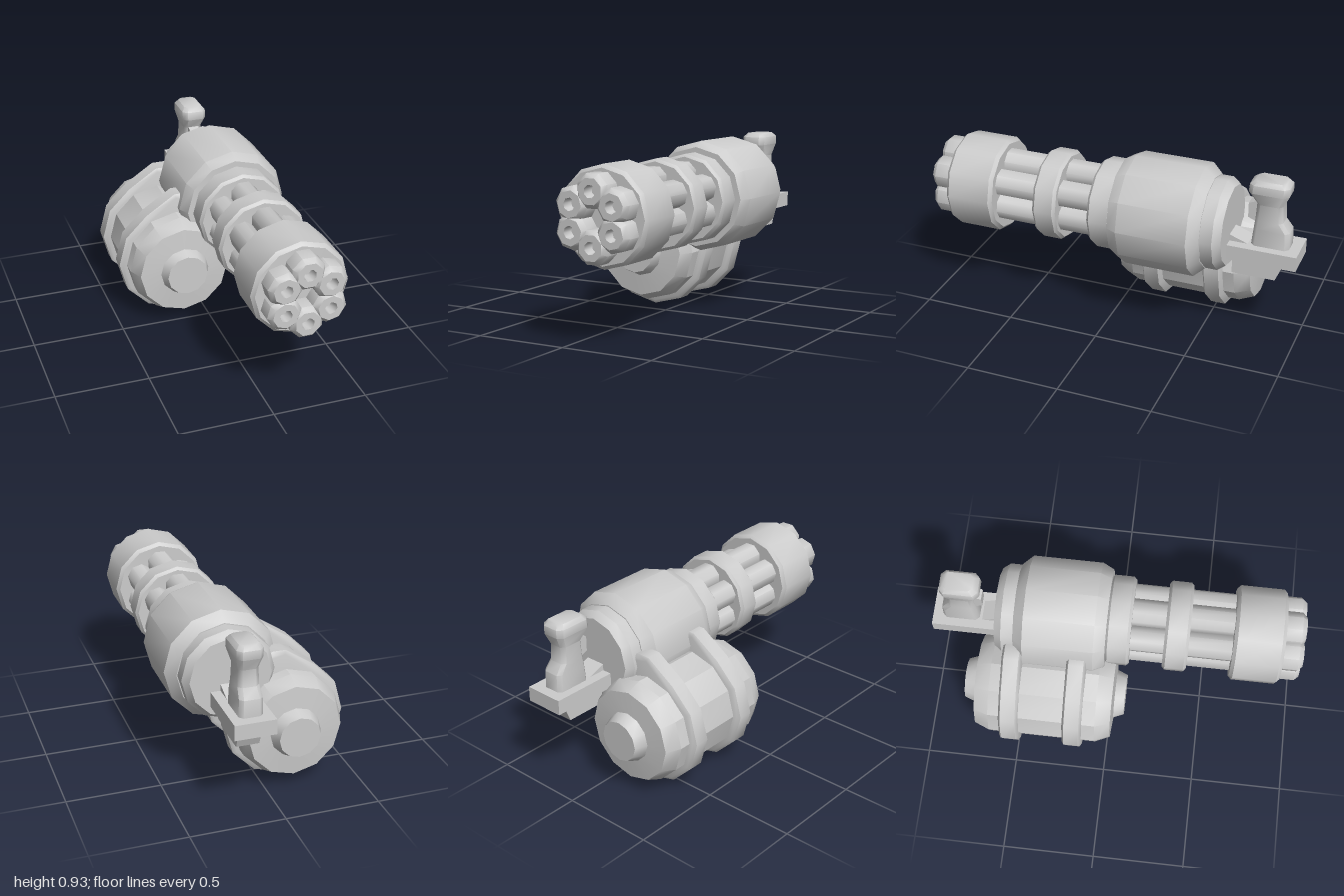
import * as THREE from 'three';
import { toCreasedNormals } from 'three/addons/utils/BufferGeometryUtils.js';

const material = new THREE.MeshStandardMaterial({ color: 0xcccccc });
const GUN = [0.165, 0.637];
const DRUM = [-0.148, 0.325];

function part(name, geometry, crease = 0.6) {
  const mesh = new THREE.Mesh(toCreasedNormals(geometry, crease), material);
  mesh.name = name;
  return mesh;
}

// Turned solid along z from [radius, z] pairs, listed back to front
function turned(name, profile, [x, y], sides = 12, phase = 0, crease = 0.6) {
  const pts = profile.map(([r, z]) => new THREE.Vector2(r, z));
  const geo = new THREE.LatheGeometry(pts, sides, phase).rotateX(Math.PI / 2);
  const mesh = part(name, geo, crease);
  mesh.position.set(x, y, 0);
  return mesh;
}

// Ring with chamfered rims, closed at both ends
function collar(name, r, z0, z1, c = 0.015) {
  return turned(name, [[0, z0], [r - c, z0], [r, z0 + c], [r, z1 - c], [r - c, z1], [0, z1]], GUN);
}

// Side outline [z, y] extruded across x, centred on the gun axis
function slab(name, outline, width) {
  const shape = new THREE.Shape(outline.map(([z, y]) => new THREE.Vector2(-z, y)));
  const geo = new THREE.ExtrudeGeometry(shape, { depth: width, bevelEnabled: false });
  geo.translate(0, 0, -width / 2).rotateY(Math.PI / 2).translate(GUN[0], 0, 0);
  return part(name, geo, 0.3);
}

// Skin over corner-cut rectangles: [y, zBack, zFront, halfWidth, cornerCut]
function loft(name, sections) {
  const pos = [], index = [];
  for (const [y, a, b, w, c] of sections) {
    const ring = [[w, a + c], [w, b - c], [w - c, b], [c - w, b], [-w, b - c], [-w, a + c], [c - w, a], [w - c, a]];
    for (const [x, z] of ring) pos.push(GUN[0] + x, y, z);
  }
  const n = 8;
  for (let s = 0; s < sections.length - 1; s++) {
    for (let i = 0; i < n; i++) {
      const p = s * n + i, q = s * n + (i + 1) % n;
      index.push(p, p + n, q, q, p + n, q + n);
    }
  }
  const top = (sections.length - 1) * n;
  for (let i = 1; i < n - 1; i++) {
    index.push(0, i, i + 1, top, top + i + 1, top + i);
  }
  const geo = new THREE.BufferGeometry();
  geo.setAttribute('position', new THREE.Float32BufferAttribute(pos, 3));
  geo.setIndex(index);
  return part(name, geo, 0.85);
}

export function createModel() {
  const model = new THREE.Group();
  model.name = 'rotaryGun';

  // Motor housing and barrel clamps
  model.add(
    turned('housing', [[0, -0.53], [0.25, -0.53], [0.3, -0.475], [0.3, -0.1], [0.27, -0.04], [0, -0.04]], GUN),
    turned('rearCap', [[0, -0.635], [0.215, -0.635], [0.245, -0.595], [0.245, -0.5]], GUN),
    collar('rearClamp', 0.243, -0.045, 0.087),
    collar('middleClamp', 0.243, 0.265, 0.395),
    collar('frontClamp', 0.257, 0.625, 0.893, 0.018)
  );

  // Six barrels with thicker muzzles and recessed bores
  const barrels = new THREE.Group();
  barrels.name = 'barrels';
  for (let i = 0; i < 6; i++) {
    const a = Math.PI / 2 + i * Math.PI / 3;
    const at = [GUN[0] + 0.135 * Math.cos(a), GUN[1] + 0.135 * Math.sin(a)];
    const barrel = turned('barrel', [[0.074, 0], [0.074, 0.8], [0.091, 0.82], [0.091, 0.975],
      [0.068, 1], [0.033, 1], [0.028, 0.94], [0, 0.94]], at, 8, Math.PI / 8, 0.85);
    barrel.rotation.z = i * Math.PI / 3;
    barrels.add(barrel);
  }
  model.add(barrels);

  // Ammunition drum with a hub on each end
  model.add(turned('drum', [[0, -0.795], [0.11, -0.795], [0.135, -0.73], [0.25, -0.72], [0.283, -0.64],
    [0.283, -0.06], [0.248, 0.02], [0.135, 0.03], [0.112, 0.085], [0, 0.085]], DRUM, 12, 0, 0.5));

  // Two bands round the drum, drawn up to meet the housing
  const outline = [];
  for (let k = 3; k <= 12; k++) {
    const a = k * Math.PI / 6;
    outline.push(new THREE.Vector2(DRUM[0] + 0.322 * Math.cos(a), DRUM[1] + 0.322 * Math.sin(a)));
  }
  outline[0].y = 0.71;
  outline.push(new THREE.Vector2(0.165, 0.45), new THREE.Vector2(0.06, 0.66), new THREE.Vector2(-0.08, 0.71));
  for (const z of [-0.183, -0.527]) {
    const geo = new THREE.ExtrudeGeometry(new THREE.Shape(outline), {
      depth: 0.08, bevelThickness: 0.012, bevelSize: 0.018, bevelOffset: -0.018, bevelSegments: 1
    });
    const band = part('drumBand', geo);
    band.position.z = z - 0.04;
    model.add(band);
  }

  // Rear bracket
  model.add(
    slab('bracketPlate', [[-0.6, 0.492], [-1, 0.492], [-1, 0.573], [-0.6, 0.573]], 0.215),
    slab('bracketWedge', [[-0.6, 0.55], [-0.74, 0.55], [-0.74, 0.57], [-0.63, 0.61], [-0.6, 0.61]], 0.11),
    slab('bracketBlock', [[-0.655, 0.39], [-0.885, 0.39], [-0.93, 0.5], [-0.655, 0.5]], 0.12)
  );

  // Upright grip and trigger
  model.add(
    loft('grip', [
      [0.56, -0.945, -0.745, 0.062, 0.02],
      [0.665, -0.942, -0.755, 0.06, 0.02],
      [0.715, -0.905, -0.76, 0.055, 0.02],
      [0.805, -0.9, -0.765, 0.052, 0.02],
      [0.87, -0.93, -0.72, 0.068, 0.025],
      [0.915, -0.93, -0.725, 0.068, 0.025],
      [0.937, -0.91, -0.752, 0.05, 0.02]
    ]),
    slab('trigger', [[-0.72, 0.715], [-0.78, 0.69], [-0.78, 0.81], [-0.755, 0.81], [-0.72, 0.795]], 0.06)
  );

  return model;
}
